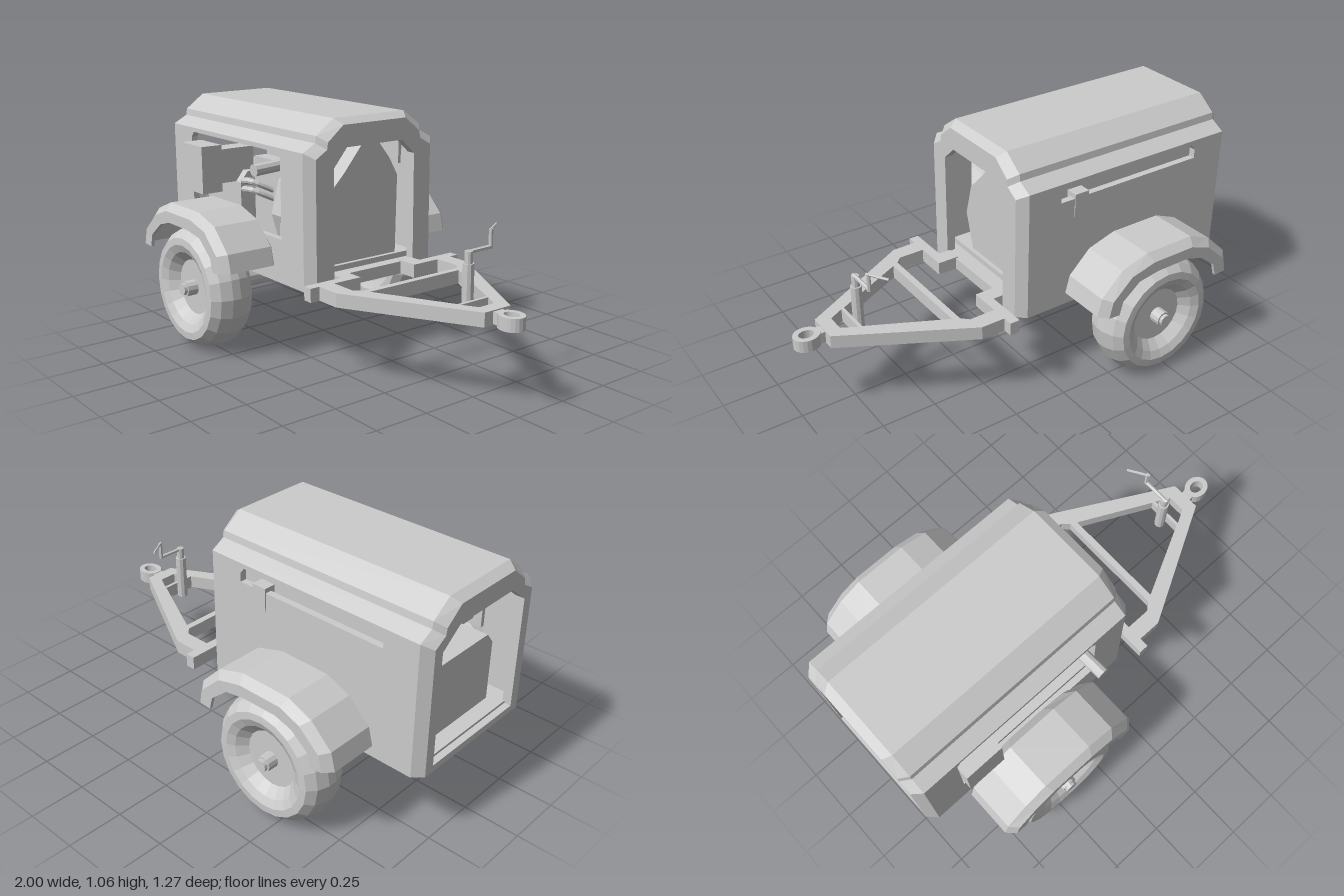
import * as THREE from 'three';

const grey = new THREE.MeshStandardMaterial({ color: 0xcccccc, flatShading: true, side: THREE.DoubleSide });

function add(parent, name, geometry, x = 0, y = 0, z = 0) {
  const mesh = new THREE.Mesh(geometry, grey);
  mesh.name = name;
  mesh.position.set(x, y, z);
  parent.add(mesh);
  return mesh;
}

// Box given by its extents on each axis
function box(parent, name, [x0, x1], [y0, y1], [z0, z1]) {
  return add(parent, name, new THREE.BoxGeometry(x1 - x0, y1 - y0, z1 - z0),
    (x0 + x1) / 2, (y0 + y1) / 2, (z0 + z1) / 2);
}

// Straight round bar between two points
function bar(parent, name, a, b, r, sides = 10) {
  const p = new THREE.Vector3(...a), q = new THREE.Vector3(...b);
  const d = q.clone().sub(p);
  const m = add(parent, name, new THREE.CylinderGeometry(r, r, d.length(), sides));
  m.position.copy(p).add(q).multiplyScalar(0.5);
  m.quaternion.setFromUnitVectors(new THREE.Vector3(0, 1, 0), d.normalize());
  return m;
}

// Bent hose through several points
function hose(parent, name, pts, r) {
  const path = new THREE.CatmullRomCurve3(pts.map(p => new THREE.Vector3(...p)));
  return add(parent, name, new THREE.TubeGeometry(path, 14, r, 8));
}

function polygon(pts, holes = []) {
  const shape = new THREE.Shape(pts.map(p => new THREE.Vector2(...p)));
  holes.forEach(h => shape.holes.push(new THREE.Path(h.map(p => new THREE.Vector2(...p)))));
  return shape;
}

const extrude = (shape, depth) =>
  new THREE.ExtrudeGeometry(shape, { depth, bevelEnabled: false, curveSegments: 10 });

// Extrude a (z, y) outline along x
function extrudeX(pts, holes, depth) {
  const flip = list => list.map(([z, y]) => [-z, y]);
  return extrude(polygon(flip(pts), holes.map(flip)), depth).rotateY(Math.PI / 2);
}

// Extrude an (x, z) outline downward
const extrudeDown = (pts, holes, depth) => extrude(polygon(pts, holes), depth).rotateX(Math.PI / 2);

// Open skin through successive cross-sections
function loft(sections) {
  const pos = [];
  for (let i = 0; i < sections.length - 1; i++) {
    for (let j = 0; j < sections[i].length - 1; j++) {
      const a = sections[i][j], b = sections[i + 1][j], c = sections[i + 1][j + 1], d = sections[i][j + 1];
      pos.push(...a, ...b, ...c, ...a, ...c, ...d);
    }
  }
  const g = new THREE.BufferGeometry();
  g.setAttribute('position', new THREE.Float32BufferAttribute(pos, 3));
  g.computeVertexNormals();
  return g;
}

const mirrorZ = half => [...half, ...half.slice().reverse().map(([z, y]) => [-z, y])];

function buildHousing(root) {
  const housing = new THREE.Group();
  housing.name = 'housing';
  root.add(housing);

  // Stepped cross-section and its inset copy for the chamfered ends
  const outer = mirrorZ([[0.35, 0.345], [0.35, 0.935], [0.285, 0.97], [0.28, 1.0], [0.19, 1.065]]);
  const inner = outer.map(([z, y]) => [z * 0.89, y > 0.9 ? y - 0.025 : y]);
  const at = (profile, x) => profile.map(([z, y]) => [x, y, z]);
  add(housing, 'roof', loft([at(outer.slice(1, -1), -0.96), at(outer.slice(1, -1), 0.09)]));
  add(housing, 'rearCorners', loft([at(inner, -1), at(outer, -0.96)]));
  add(housing, 'frontCorners', loft([at(outer, 0.09), at(inner, 0.13)]));

  // Open end arches, the rear one wider
  const rearOpening = mirrorZ([[0.265, 0.375], [0.265, 0.88], [0.17, 0.955]]);
  const frontOpening = mirrorZ([[0.22, 0.4], [0.22, 0.88], [0.15, 0.945]]);
  add(housing, 'rearArch', extrudeX(inner, [rearOpening], 0.04), -1);
  add(housing, 'frontArch', extrudeX(inner, [frontOpening], 0.04), 0.09);

  // Side walls: a large window on the left, a narrow slot on the right
  const wall = sill => extrude(polygon([[-0.96, 0.345], [0.09, 0.345], [0.09, 0.935], [-0.96, 0.935]],
    [[[-0.8, sill], [-0.8, 0.89], [-0.78, 0.915], [-0.09, 0.915], [-0.07, 0.89], [-0.07, sill]]]), 0.03);
  add(housing, 'leftWall', wall(0.54), 0, 0, 0.32);
  add(housing, 'rightWall', wall(0.85), 0, 0, -0.35);
  box(housing, 'slotBacking', [-0.82, -0.05], [0.8, 0.925], [-0.3, -0.285]);
  box(housing, 'latchBox', [-0.21, -0.14], [0.765, 0.87], [-0.354, -0.29]);

  // Base frame, cross member and belly plate
  add(housing, 'baseFrame', extrudeDown([[-0.97, -0.32], [0.1, -0.32], [0.1, 0.32], [-0.97, 0.32]],
    [[[-0.9, -0.24], [0.02, -0.24], [0.02, 0.24], [-0.9, 0.24]]], 0.04), 0, 0.386);
  box(housing, 'crossMember', [-0.8, -0.75], [0.35, 0.4], [-0.25, 0.25]);
  box(housing, 'bellyPlate', [-0.66, 0.05], [0.39, 0.415], [-0.29, 0.29]);
}

function buildEngine(root) {
  const engine = new THREE.Group();
  engine.name = 'engine';
  root.add(engine);
  const cowl = [[0.16, 0.41], [0.21, 0.58], [0.17, 0.73], [0.09, 0.81], [-0.02, 0.94],
    [-0.09, 0.945], [-0.165, 0.85], [-0.21, 0.77], [-0.2, 0.41]];
  add(engine, 'engineCowl', extrudeX(cowl, [], 0.23), -0.35);
  add(engine, 'radiatorShroud', extrudeX(cowl, [], 0.08), -0.05);
  box(engine, 'radiatorCore', [-0.12, -0.05], [0.41, 0.8], [-0.16, 0.08]);
  box(engine, 'engineBlock', [-0.62, -0.35], [0.41, 0.8], [-0.18, 0.12]);
  box(engine, 'airIntake', [-0.62, -0.35], [0.8, 0.92], [-0.1, 0.05]);
  add(engine, 'generator', extrudeX(mirrorZ([[0.2, 0.41], [0.2, 0.68], [0.16, 0.73]]), [], 0.3), -0.92);
  box(engine, 'controlBox', [-0.8, -0.62], [0.65, 0.87], [0.3, 0.405]);
  box(engine, 'controlBracket', [-0.76, -0.66], [0.68, 0.84], [0.1, 0.3]);
  box(engine, 'sidePump', [-0.3, -0.1], [0.46, 0.56], [0.1, 0.2]);

  // Exhaust and fittings
  bar(engine, 'muffler', [-0.35, 0.865, 0.08], [-0.1, 0.865, 0.08], 0.032);
  bar(engine, 'exhaustPipe', [-0.14, 0.865, 0.06], [-0.12, 0.845, 0.45], 0.027);
  bar(engine, 'upperNeck', [-0.22, 0.815, 0.06], [-0.22, 0.79, 0.2], 0.018);
  bar(engine, 'upperCap', [-0.22, 0.806, 0.11], [-0.22, 0.8, 0.14], 0.035);
  bar(engine, 'lowerNeck', [-0.22, 0.67, 0.1], [-0.22, 0.66, 0.19], 0.02);
  bar(engine, 'lowerCap', [-0.22, 0.66, 0.185], [-0.22, 0.655, 0.21], 0.033);
  bar(engine, 'lowerFilter', [-0.22, 0.5, 0.14], [-0.22, 0.49, 0.22], 0.03);
  for (const y of [0.65, 0.69]) {
    hose(engine, 'hose', [[-0.64, y, 0.08], [-0.61, y, 0.19], [-0.52, y + 0.01, 0.2], [-0.47, y - 0.04, 0.1]], 0.014);
  }
}

function buildRunningGear(root) {
  const cx = -0.445, cy = 0.281;
  bar(root, 'axle', [cx, cy, -0.5], [cx, cy, 0.5], 0.05, 14);

  const tyre = [[0, -0.09], [0.16, -0.09], [0.2, -0.106], [0.232, -0.104], [0.262, -0.07], [0.278, -0.02],
    [0.278, 0.02], [0.262, 0.07], [0.232, 0.104], [0.2, 0.106], [0.165, 0.09], [0.125, 0.05], [0, 0.05]];
  const arch = [[-0.8, 0.43], [-0.78, 0.51], [-0.68, 0.605], [-0.57, 0.65], [-0.33, 0.65],
    [-0.2, 0.61], [-0.1, 0.51], [-0.08, 0.43]];
  // Fender cross-section: distance out, drop toward the inside of the arch
  const lip = [[0.345, 0.06], [0.385, 0], [0.6, 0], [0.635, 0.035], [0.635, 0.09], [0.62, 0.09],
    [0.59, 0.025], [0.385, 0.02], [0.345, 0.08]];

  for (const s of [1, -1]) {
    const side = s > 0 ? 'left' : 'right';
    const wheel = new THREE.Group();
    wheel.name = side + 'Wheel';
    wheel.position.set(cx, cy, s * 0.517);
    root.add(wheel);
    const geo = new THREE.LatheGeometry(tyre.map(p => new THREE.Vector2(...p)), 20);
    add(wheel, 'tyreAndRim', geo.rotateX(s * Math.PI / 2));
    bar(wheel, 'hub', [0, 0, s * 0.04], [0, 0, s * 0.1], 0.035, 12);
    bar(wheel, 'hubCap', [0, 0, s * 0.09], [0, 0, s * 0.115], 0.027, 12);

    const sections = arch.map(([x, y]) => {
      const dx = cx - x, dy = 0.4 - y, d = Math.hypot(dx, dy);
      return lip.map(([z, drop]) => [x + dx * drop / d, y + dy * drop / d, s * z]);
    });
    add(root, side + 'Fender', loft(sections));
  }
}

function buildDrawbar(root) {
  const drawbar = new THREE.Group();
  drawbar.name = 'drawbar';
  root.add(drawbar);

  // A-frame in one outline, mirrored about the centre line
  const half = [[0.12, 0.15], [0.12, 0.22], [0.175, 0.22], [0.175, 0.41], [0.22, 0.41], [0.22, 0.365],
    [0.33, 0.365], [0.87, 0.07]];
  const back = [[0.37, 0.26], [0.34, 0.29], [0.22, 0.29], [0.22, 0.15]];
  const flip = pts => pts.slice().reverse().map(([x, z]) => [x, -z]);
  const hole = pts => [...pts, ...flip(pts)];
  add(drawbar, 'aFrame', extrudeDown([...half, ...flip(half), ...flip(back), ...back],
    [hole([[0.4, 0.245], [0.73, 0.08]]), hole([[0.745, 0.075], [0.81, 0.04]])], 0.06), 0, 0.405);

  // Towing eye
  const eye = new THREE.Shape().absellipse(0, 0, 0.058, 0.05, 0, Math.PI * 2);
  eye.holes.push(new THREE.Path().absellipse(0, 0, 0.034, 0.026, 0, Math.PI * 2));
  add(drawbar, 'towingEye', extrude(eye, 0.055).rotateX(Math.PI / 2), 0.942, 0.403);
  box(drawbar, 'eyeShank', [0.86, 0.9], [0.35, 0.4], [-0.025, 0.025]);

  // Jack with crank handle
  const x = 0.705;
  bar(drawbar, 'jackTube', [x, 0.345, 0], [x, 0.55, 0], 0.024);
  bar(drawbar, 'jackCollar', [x, 0.55, 0], [x, 0.6, 0], 0.017);
  bar(drawbar, 'crankArm', [x, 0.595, 0.015], [x, 0.597, -0.12], 0.009, 6);
  bar(drawbar, 'crankRiser', [x, 0.59, -0.12], [x, 0.67, -0.12], 0.009, 6);
  bar(drawbar, 'crankHandle', [x + 0.005, 0.667, -0.11], [0.655, 0.667, -0.2], 0.006, 6);
}

export function createModel() {
  const root = new THREE.Group();
  root.name = 'generatorTrailer';
  buildHousing(root);
  buildEngine(root);
  buildRunningGear(root);
  buildDrawbar(root);
  return root;
}
